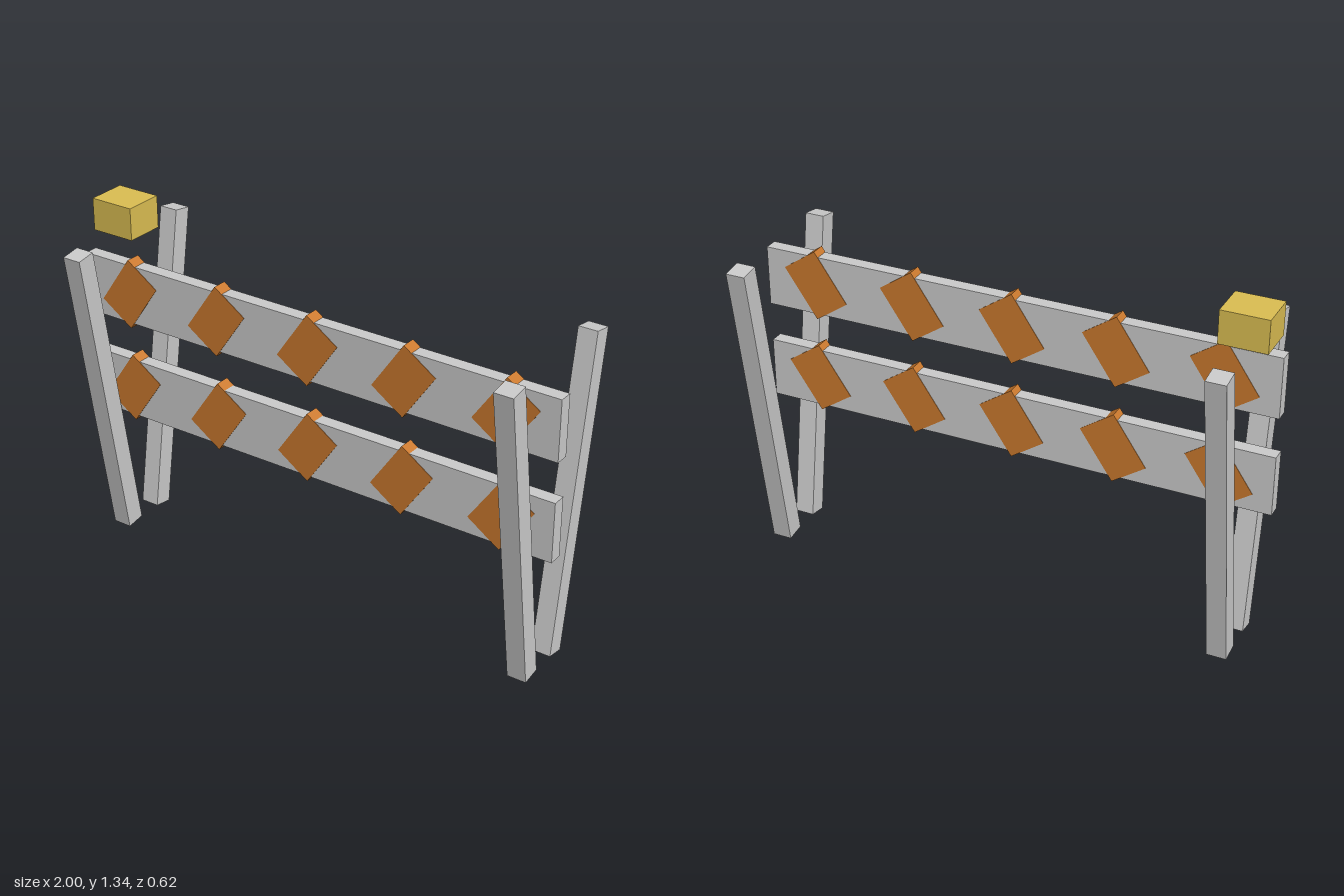
import * as THREE from 'three';

const material = (color) => new THREE.MeshStandardMaterial({ color, flatShading: true });

export function createModel() {
  const model = new THREE.Group();
  model.name = 'barricade';
  const grey = material(0xcccccc);
  const orange = material(0xcc7a2e);
  const yellow = material(0xdcbf52);

  const addBox = (name, mat, size, position) => {
    const mesh = new THREE.Mesh(new THREE.BoxGeometry(...size), mat);
    mesh.name = name;
    mesh.position.set(...position);
    model.add(mesh);
    return mesh;
  };

  // Four splayed legs, wider apart at the top
  for (const x of [-0.895, 0.895]) {
    for (const side of [1, -1]) {
      const leg = addBox(side > 0 ? 'frontLeg' : 'backLeg', grey,
        [0.075, 1.22, 0.075], [x, 0.608, side * 0.18]);
      leg.rotation.x = side * 0.157;
    }
  }

  // Two boards with slanted stripes standing slightly proud of them
  for (const [label, y] of [['lower', 0.634], ['upper', 1.02]]) {
    addBox(label + 'Board', grey, [2, 0.233, 0.053], [0, y, 0.091]);
    for (let i = -2; i <= 2; i++) {
      const stripe = addBox(label + 'Stripe', orange, [0.155, 0.227, 0.057], [i * 0.399, y, 0.091]);
      stripe.rotation.z = -0.6;
    }
  }

  // Warning lamp above the right end
  addBox('warningLamp', yellow, [0.177, 0.125, 0.153], [-0.9, 1.278, 0]);

  return model;
}
